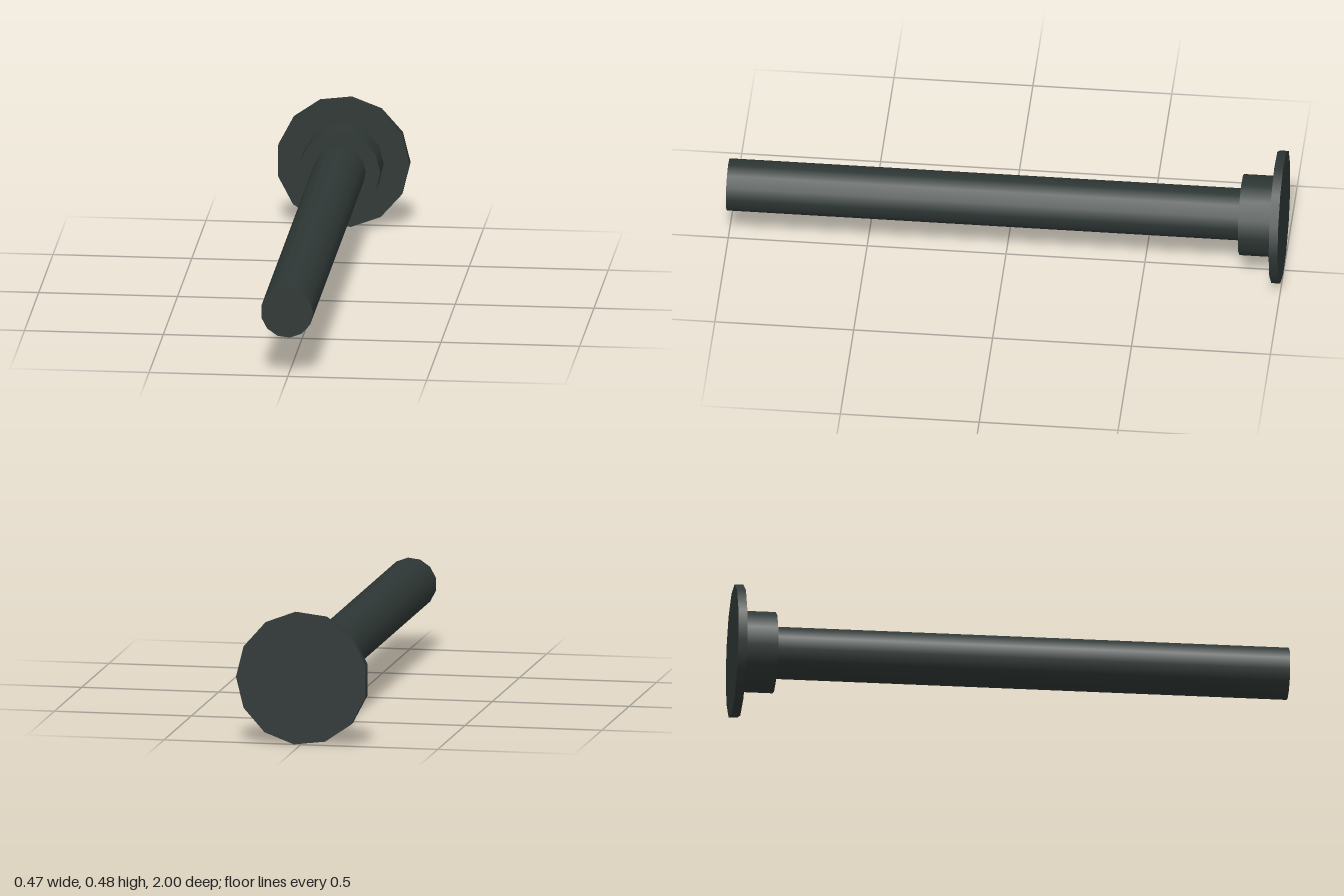
import * as THREE from 'three';

const SIDES = 13;

export function createModel() {
  const model = new THREE.Group();
  model.name = 'flangedRod';
  const darkMetal = new THREE.MeshStandardMaterial({ color: 0x2e3735 });
  darkMetal.name = 'dark metal';

  // Smooth-sided cylinder along z with one corner pointing to +x
  function addSection(name, radius, zBack, zFront) {
    const length = zFront - zBack;
    const geometry = new THREE.CylinderGeometry(radius, radius, length, SIDES, 1, false, Math.PI / 2);
    geometry.rotateX(Math.PI / 2);
    const mesh = new THREE.Mesh(geometry, darkMetal);
    mesh.name = name;
    mesh.position.set(-0.0035, 0.239, (zBack + zFront) / 2);
    model.add(mesh);
  }

  addSection('baseFlange', 0.2405, -1, -0.968);
  addSection('collar', 0.147, -0.968, -0.848);
  addSection('shaft', 0.0945, -0.848, 1);

  return model;
}
